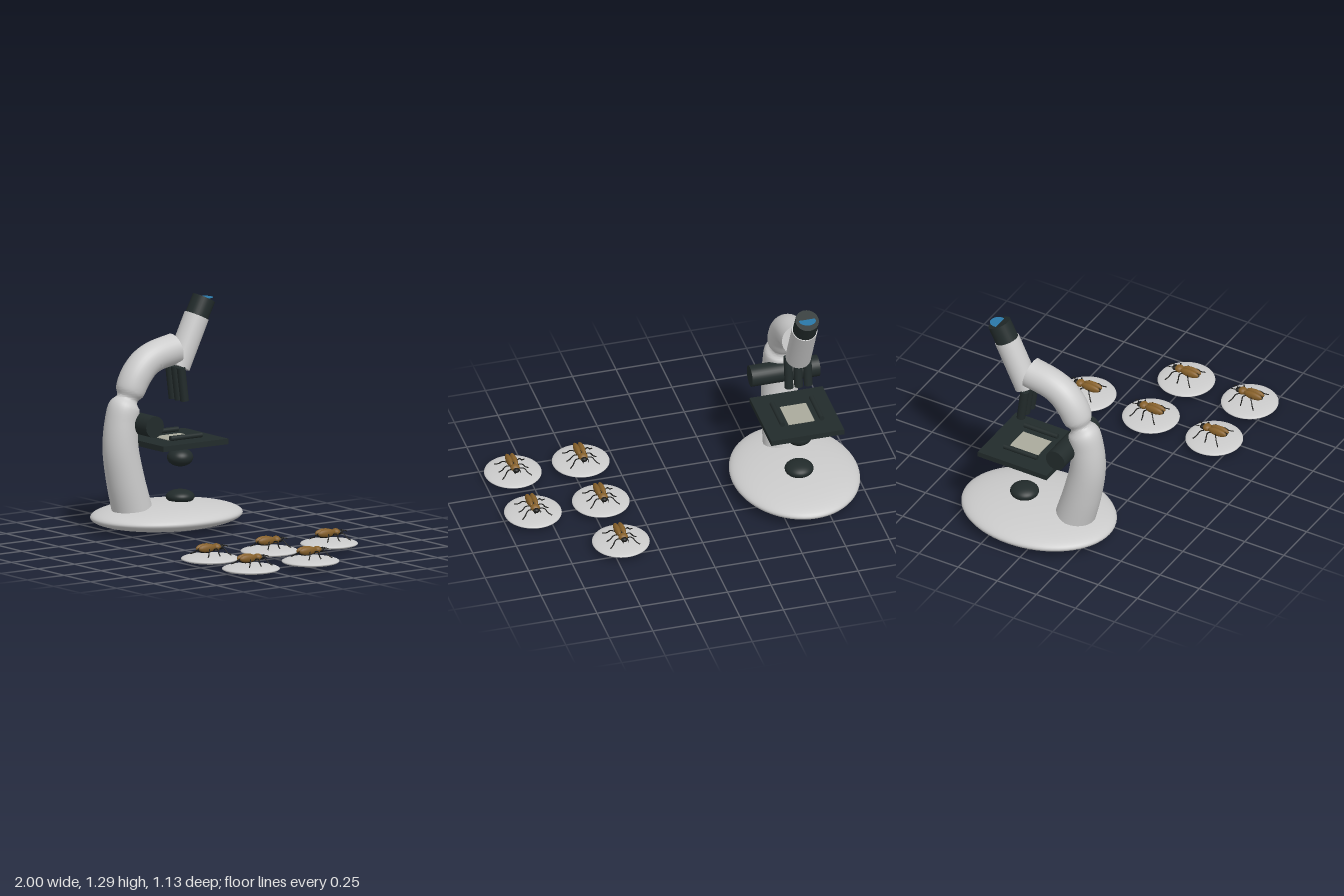
import * as THREE from 'three';
import { toCreasedNormals } from 'three/addons/utils/BufferGeometryUtils.js';

const V = (x, y, z) => new THREE.Vector3(x, y, z);
const mat = (color, side = THREE.FrontSide) => new THREE.MeshStandardMaterial({ color, side });
const grey = mat(0xcccccc);
const dark = mat(0x222b2b);
const brown = mat(0x86602a);
const black = mat(0x1a1a18);
const glass = mat(0x2a78a8, THREE.DoubleSide);
const pale = mat(0xaaaa9c, THREE.DoubleSide);

function add(parent, name, geometry, material, x = 0, y = 0, z = 0) {
  const mesh = new THREE.Mesh(geometry, material);
  mesh.name = name;
  mesh.position.set(x, y, z);
  parent.add(mesh);
  return mesh;
}

function ellipsoid(parent, name, material, pos, radii, seg = 48) {
  const geometry = new THREE.SphereGeometry(1, seg, Math.round(seg / 2)).scale(...radii);
  return add(parent, name, geometry, material, ...pos);
}

// Cylinder between two points
function rod(parent, name, material, a, b, ra, rb = ra) {
  const geometry = new THREE.CylinderGeometry(rb, ra, a.distanceTo(b), 32);
  const mesh = add(parent, name, geometry, material);
  mesh.position.copy(a).lerp(b, 0.5);
  mesh.quaternion.setFromUnitVectors(V(0, 1, 0), b.clone().sub(a).normalize());
  return mesh;
}

// Closed sweep in the yz plane; each station is [radius, y, z]
function sweep(stations, rings = 72, sides = 32) {
  const curve = new THREE.CatmullRomCurve3(stations.map(s => V(...s)));
  const pos = [], index = [];
  for (let i = -1; i <= rings + 1; i++) {
    const u = THREE.MathUtils.clamp(i / rings, 0, 1);
    const p = curve.getPoint(u), t = curve.getTangent(u);
    const len = Math.hypot(t.y, t.z);
    const r = i < 0 || i > rings ? 0 : p.x;
    for (let j = 0; j < sides; j++) {
      const a = (j / sides) * Math.PI * 2;
      const s = r * Math.sin(a);
      pos.push(r * Math.cos(a), p.y - s * t.z / len, p.z + s * t.y / len);
    }
  }
  for (let i = 0; i < rings + 2; i++) {
    for (let j = 0; j < sides; j++) {
      const k = (j + 1) % sides;
      const a = i * sides + j, b = i * sides + k, c = a + sides, d = b + sides;
      index.push(a, c, b, b, c, d);
    }
  }
  const geometry = new THREE.BufferGeometry();
  geometry.setAttribute('position', new THREE.Float32BufferAttribute(pos, 3));
  geometry.setIndex(index);
  return toCreasedNormals(geometry, Math.PI / 3);
}

function createMicroscope() {
  const g = new THREE.Group();
  g.name = 'microscope';
  ellipsoid(g, 'base', grey, [0, 0.073, -0.085], [0.355, 0.073, 0.453], 64);
  ellipsoid(g, 'lamp', dark, [0, 0.165, -0.178], [0.08, 0.04, 0.08]);
  ellipsoid(g, 'condenser', dark, [0, 0.385, -0.178], [0.073, 0.051, 0.073]);

  // Curved arm with a pinched fold in the middle
  add(g, 'arm', sweep([
    [0.112, 0.13, 0.15], [0.107, 0.3, 0.195], [0.1, 0.48, 0.227], [0.093, 0.62, 0.222],
    [0.087, 0.71, 0.2], [0.06, 0.75, 0.182], [0.08, 0.787, 0.165],
    [0.087, 0.86, 0.13], [0.087, 0.93, 0.07], [0.086, 0.968, 0], [0.087, 0.998, -0.138],
  ]), grey);

  // Focus knobs
  rod(g, 'focusKnobs', dark, V(-0.195, 0.613, 0.132), V(0.195, 0.613, 0.132), 0.06);

  // Stage with specimen plate and clips
  add(g, 'stage', new THREE.BoxGeometry(0.42, 0.031, 0.44), dark, 0, 0.485, -0.135);
  add(g, 'specimenPlate', new THREE.BoxGeometry(0.15, 0.004, 0.18), pale, 0, 0.502, -0.14);
  for (const x of [-0.113, 0.113]) {
    rod(g, 'stageClip', dark, V(x, 0.52, -0.03), V(x, 0.52, -0.242), 0.014);
  }

  // Objectives
  for (const x of [-0.055, 0, 0.055]) {
    rod(g, 'objective', dark, V(x, 0.9, -0.144), V(x, 0.71, -0.169), 0.024);
  }

  // Eyepiece
  rod(g, 'eyepieceTube', grey, V(0, 0.897, -0.16), V(0, 1.167, -0.29), 0.071);
  rod(g, 'eyepieceCap', dark, V(0, 1.16, -0.287), V(0, 1.262, -0.34), 0.066);
  add(g, 'eyepieceLens', new THREE.CircleGeometry(0.047, 32).rotateX(-Math.PI / 2), glass, 0, 1.265, -0.345);
  return g;
}

function limb(parent, name, points, radius) {
  const curve = new THREE.CatmullRomCurve3(points);
  add(parent, name, new THREE.TubeGeometry(curve, 10, radius, 6), black);
}

// Beetle facing -z
function createBeetle() {
  const g = new THREE.Group();
  g.name = 'beetle';
  ellipsoid(g, 'belly', black, [0, 0.088, 0.025], [0.026, 0.02, 0.058], 20);
  ellipsoid(g, 'thorax', brown, [0, 0.095, -0.045], [0.027, 0.02, 0.024], 20);
  ellipsoid(g, 'head', black, [0, 0.092, -0.071], [0.018, 0.014, 0.016], 20);
  for (const s of [-1, 1]) {
    ellipsoid(g, 'wingCase', brown, [s * 0.014, 0.097, 0.027], [0.017, 0.023, 0.058], 20);
    ellipsoid(g, 'eye', black, [s * 0.015, 0.096, -0.075], [0.006, 0.006, 0.006], 10);
    limb(g, 'antenna', [V(s * 0.008, 0.095, -0.082), V(s * 0.018, 0.1, -0.094), V(s * 0.014, 0.095, -0.11)], 0.0025);
    // Legs: hip, knee and foot
    for (const [hip, knee, foot] of [[-0.045, -0.062, -0.088], [-0.01, -0.018, -0.012], [0.015, 0.035, 0.072]]) {
      limb(g, 'leg', [
        V(s * 0.015, 0.085, hip), V(s * 0.046, 0.092, knee),
        V(s * 0.066, 0.068, (knee + foot) / 2), V(s * 0.085, 0.056, foot),
      ], 0.0033);
    }
  }
  return g;
}

export function createModel() {
  const model = new THREE.Group();
  model.name = 'microscopeWithSpecimens';
  const microscope = createMicroscope();
  microscope.position.x = -0.645;
  model.add(microscope);

  // Specimen dishes, each with a beetle
  const specimen = new THREE.Group();
  ellipsoid(specimen, 'dish', grey, [0, 0.035, 0], [0.16, 0.022, 0.16]);
  specimen.add(createBeetle());
  for (const [x, z] of [[0.445, -0.41], [0.445, -0.005], [0.835, -0.005], [0.445, 0.4], [0.835, 0.4]]) {
    const copy = specimen.clone();
    copy.name = 'specimen';
    copy.position.set(x, 0, z);
    model.add(copy);
  }
  return model;
}
